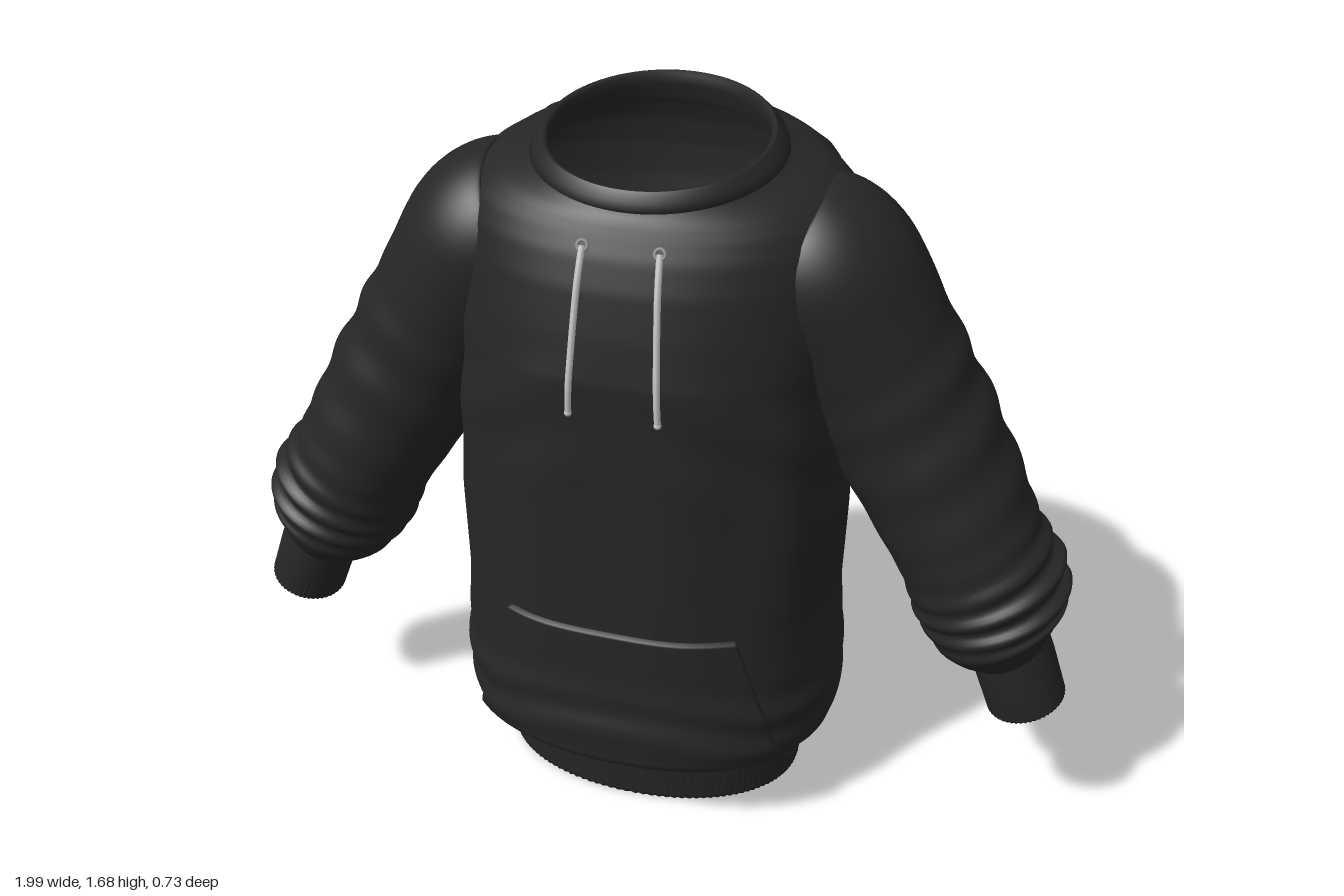
import * as THREE from 'three';

const fabric = new THREE.MeshStandardMaterial({ color: 0x262626, side: THREE.DoubleSide });
fabric.name = 'black fabric';
const cord = new THREE.MeshStandardMaterial({ color: 0xc4c4c4 });
cord.name = 'pale cord';
const metal = new THREE.MeshStandardMaterial({ color: 0x8a8a8a });
metal.name = 'grey metal';

// torso rings: height, half width, front z, back z, back tilt, roundness
const RINGS = [
  [0.14, 0.365, 0.225, -0.25, 0, 0.95],
  [0.155, 0.39, 0.25, -0.28, 0, 0.93],
  [0.175, 0.43, 0.315, -0.33, 0, 0.9],
  [0.205, 0.452, 0.345, -0.352, 0, 0.88],
  [0.25, 0.462, 0.35, -0.36, 0, 0.87],
  [0.32, 0.464, 0.347, -0.36, 0, 0.87],
  [0.42, 0.46, 0.336, -0.342, 0, 0.87],
  [0.57, 0.45, 0.333, -0.327, 0, 0.87],
  [0.8, 0.455, 0.33, -0.322, 0, 0.87],
  [1.0, 0.445, 0.33, -0.32, 0, 0.87],
  [1.2, 0.43, 0.328, -0.315, 0, 0.88],
  [1.3, 0.435, 0.31, -0.332, 0, 0.9],
  [1.4, 0.44, 0.288, -0.348, 0.005, 0.92],
  [1.47, 0.44, 0.265, -0.352, 0.01, 0.94],
  [1.52, 0.425, 0.245, -0.346, 0.02, 0.96],
  [1.555, 0.39, 0.232, -0.332, 0.03, 0.98],
  [1.58, 0.345, 0.222, -0.312, 0.04, 1],
  [1.592, 0.295, 0.216, -0.288, 0.045, 1],
  [1.6, 0.268, 0.212, -0.275, 0.045, 1],
  [1.628, 0.258, 0.21, -0.268, 0.047, 1],
  [1.637, 0.248, 0.203, -0.26, 0.047, 1],
];

const bump = (x, centre, width) => Math.exp(-(((x - centre) / width) ** 2));

function ringAt(y) {
  let i = 0;
  while (i < RINGS.length - 2 && y > RINGS[i + 1][0]) i++;
  const [a, b] = [RINGS[i], RINGS[i + 1]];
  const t = THREE.MathUtils.clamp((y - a[0]) / (b[0] - a[0]), 0, 1);
  return a.map((v, k) => v + (b[k] - v) * t);
}

// point of a squarish oval; angle 0 is +x, PI/2 is the front
function oval([y, hw, zf, zb, tilt, e], a, off = 0) {
  const c = Math.cos(a), s = Math.sin(a);
  const pw = (v) => Math.sign(v) * Math.abs(v) ** e;
  return [(hw + off) * pw(c), y - tilt * s, (zf + zb) / 2 + ((zf - zb) / 2 + off) * pw(s)];
}

// torso surface with soft cloth folds
function torso(y, a, off = 0) {
  const drape = 0.005 * Math.sin(10 * a + 1) * bump(y, 0.85, 0.3);
  const pull = 0.006 * Math.sin(26 * y + 7 * Math.abs(Math.cos(a))) * bump(y, 1.08, 0.14) * Math.abs(Math.sin(2 * a));
  const slouch = 0.005 * Math.sin(y * 55 + 2 * Math.sin(a * 3)) * bump(y, 0.32, 0.09);
  return oval(ringAt(y), a, off + drape + pull + slouch);
}

// grid of points f(i, j); i runs round, j runs along
function grid(nu, nv, f, wrap = true) {
  const pos = [], idx = [], cols = wrap ? nu : nu + 1;
  for (let j = 0; j <= nv; j++) for (let i = 0; i < cols; i++) pos.push(...f(i, j));
  for (let j = 0; j < nv; j++) for (let i = 0; i < nu; i++) {
    const k = (i + 1) % cols, p = j * cols, q = p + cols;
    idx.push(p + i, q + i, p + k, p + k, q + i, q + k);
  }
  const g = new THREE.BufferGeometry();
  g.setAttribute('position', new THREE.Float32BufferAttribute(pos, 3));
  g.setIndex(idx);
  g.computeVertexNormals();
  return g;
}

// sewn-on panel: rises off the torso, with its border sunk into it
function panel(y0, y1, centre, halfAngle, height) {
  const n = 40;
  const edge = (i) => (i <= 1 ? i * 0.012 : i >= n - 1 ? 1 - (n - i) * 0.012 : (i - 1) / (n - 2));
  return grid(n, n, (i, j) => {
    const y = y0 + (y1 - y0) * edge(j);
    const border = i === 0 || j === 0 || i === n || j === n;
    return torso(y, centre + (edge(i) * 2 - 1) * halfAngle(y), border ? -0.004 : height);
  }, false);
}

const V = (x, y, z) => new THREE.Vector3(x, y, z);
const TAU = Math.PI * 2;

// sleeve centre line and half thicknesses (across, front to back)
const sleevePath = new THREE.CatmullRomCurve3([
  V(0.29, 1.4, -0.03), V(0.37, 1.355, -0.03), V(0.465, 1.21, -0.03), V(0.55, 1.07, -0.028), V(0.65, 0.9, -0.02),
  V(0.735, 0.75, 0), V(0.79, 0.645, 0.01), V(0.828, 0.56, 0.025), V(0.862, 0.5, 0.05)], false, 'catmullrom');
const sleeveSize = new THREE.CatmullRomCurve3([
  V(0.18, 0.2, 0), V(0.205, 0.215, 0), V(0.195, 0.2, 0), V(0.19, 0.192, 0), V(0.182, 0.19, 0),
  V(0.17, 0.182, 0), V(0.178, 0.18, 0), V(0.155, 0.165, 0), V(0.088, 0.094, 0)], false, 'catmullrom');

function tubePoint(c, d, ru, rz, a, s) {
  const l = Math.hypot(d.x, d.y), u = ru * Math.cos(a);
  return [s * (c.x - (d.y / l) * u), c.y + (d.x / l) * u, c.z - s * rz * Math.sin(a)];
}

function sleeve(s) {
  return grid(56, 110, (i, j) => {
    const t = j / 110, a = (i / 56) * TAU;
    const c = sleevePath.getPoint(t), r = sleeveSize.getPoint(t);
    // bunched folds above the cuff, faint ones at the elbow
    const side = 0.65 + 0.35 * Math.cos(a - 0.4 * s);
    const fold = (0.013 * bump(t, 0.76, 0.11) * Math.sin(t * 95 + s * 0.6 + 0.8 * Math.sin(a))
      + 0.006 * bump(t, 0.42, 0.14) * Math.sin(t * 60 + s + 1.5 * Math.sin(a))) * side;
    return tubePoint(c, sleevePath.getTangent(t), r.x + fold, r.y + fold, a, s);
  });
}

// ribbed cuff with the edge turned inward
function cuff(s) {
  const a0 = V(0.852, 0.53, 0.048), d = V(0.062, -0.168, 0.002);
  const rows = [[0, 0], [0.3, 0.002], [0.96, 0], [1, -0.005], [0.96, -0.01], [0.2, -0.012]];
  return grid(96, rows.length - 1, (i, j) => {
    const [t, off] = rows[j], rib = i % 2 ? 0.0018 : -0.0018;
    return tubePoint(a0.clone().addScaledVector(d, t), d, 0.09 + off + rib, 0.096 + off + rib, (i / 96) * TAU, s);
  });
}

export function createModel() {
  const model = new THREE.Group();
  model.name = 'hoodedSweater';
  const add = (name, geometry, material = fabric) => {
    const mesh = new THREE.Mesh(geometry, material);
    mesh.name = name;
    model.add(mesh);
    return mesh;
  };

  add('torso', grid(112, 130, (i, j) => torso(0.14 + (1.637 - 0.14) * (j / 130), (i / 112) * TAU)));

  // collar lining: rolls over the rim and down inside
  const lining = [[1.57, 0.252, 0.2, -0.262], [1.61, 0.236, 0.192, -0.248], [1.632, 0.237, 0.195, -0.25],
    [1.638, 0.243, 0.199, -0.255], [1.637, 0.249, 0.204, -0.261]];
  add('collarLining', grid(80, 4, (i, j) => oval([...lining[j], 0.047, 1], (i / 80) * TAU)));

  // collar band with a seam ridge
  const band = [[1.59, 0.27, 0.212, -0.275], [1.598, 0.278, 0.222, -0.285], [1.618, 0.27, 0.221, -0.279], [1.637, 0.25, 0.205, -0.262]];
  add('collarBand', grid(80, 3, (i, j) => oval([...band[j], 0.047, 1], (i / 80) * TAU)));

  // ribbed hem, open below, with an inner wall
  const hem = [[0.17, 0.02], [0.15, 0.012], [0.12, 0.002], [0.012, 0], [0, -0.006], [0.012, -0.014], [0.16, -0.008]].reverse();
  add('ribbedHem', grid(240, hem.length - 1, (i, j) => {
    const [y, off] = hem[j];
    return oval([y, 0.37, 0.235, -0.255, 0, 0.95], (i / 240) * TAU, off + (i % 2 ? 0.002 : -0.002));
  }));

  // front pocket, narrower at the top
  add('frontPocket', panel(0.175, 0.57, Math.PI / 2, (y) => {
    const r = ringAt(y), x = 0.385 - 0.115 * ((y - 0.175) / 0.395);
    return Math.asin(Math.min(1, (x / r[1]) ** (1 / r[5])));
  }, 0.011));

  // folded hood lying on the upper back
  add('foldedHood', panel(1.37, 1.6, -Math.PI / 2,
    (y) => 0.08 + 0.92 * Math.sqrt(Math.max(0, 1 - ((1.6 - y) / 0.23) ** 2.4)), 0.011));

  for (const s of [1, -1]) {
    const side = s > 0 ? 'left' : 'right';
    add(side + 'Sleeve', sleeve(s));
    add(side + 'Cuff', cuff(s));

    // drawstring hanging over the chest, with its eyelet and tip
    const points = [];
    for (let k = 0; k <= 8; k++) {
      const y = 1.5 - k * 0.046, x = 0.08 + k * 0.002, r = ringAt(y);
      const p = torso(y, Math.PI / 2 - s * Math.asin((x / r[1]) ** (1 / r[5])), 0.009);
      points.push(V(...p));
    }
    add(side + 'Drawstring', new THREE.TubeGeometry(new THREE.CatmullRomCurve3(points), 40, 0.0075, 8), cord);
    const tip = add(side + 'DrawstringTip', new THREE.SphereGeometry(0.0085, 10, 8), cord);
    tip.position.copy(points[8]);
    const eyelet = add(side + 'Eyelet', new THREE.TorusGeometry(0.011, 0.004, 8, 18), metal);
    eyelet.position.copy(points[0]);
    eyelet.rotation.x = -0.4;
  }
  return model;
}
